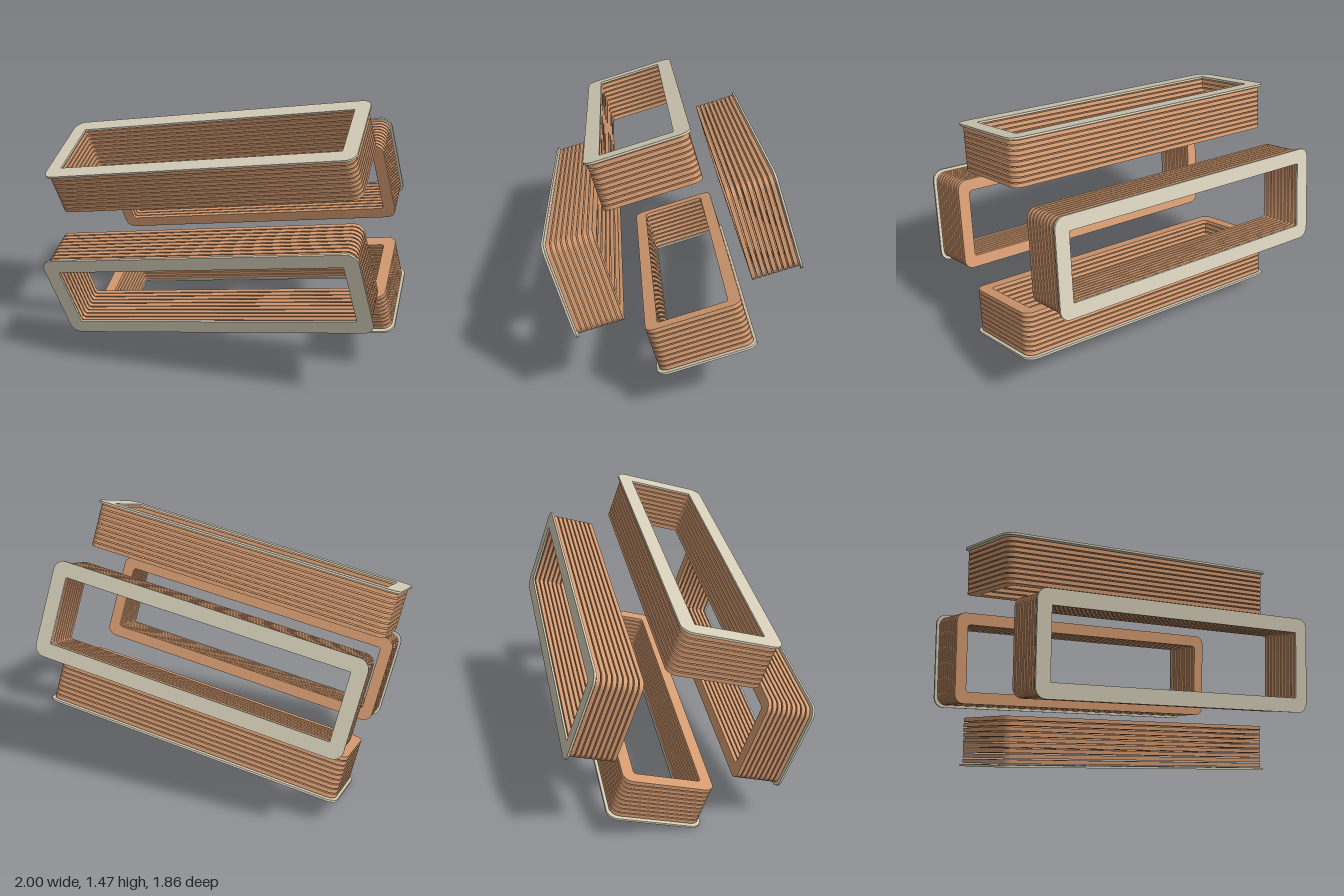
import * as THREE from 'three';
import { toCreasedNormals } from 'three/addons/utils/BufferGeometryUtils.js';

const copper = new THREE.MeshStandardMaterial({ color: 0xd69c72 });
copper.name = 'copper';
const ivory = new THREE.MeshStandardMaterial({ color: 0xd6ceb8 });
ivory.name = 'ivory';

// Rounded rectangle outline, given half length, half width and corner radius
function roundedRect(path, l, w, r) {
  path.moveTo(-l + r, -w);
  path.lineTo(l - r, -w);
  path.absarc(l - r, -w + r, r, -Math.PI / 2, 0);
  path.lineTo(l, w - r);
  path.absarc(l - r, w - r, r, 0, Math.PI / 2);
  path.lineTo(-l + r, w);
  path.absarc(-l + r, w - r, r, Math.PI / 2, Math.PI);
  path.lineTo(-l, -w + r);
  path.absarc(-l + r, -w + r, r, Math.PI, Math.PI * 1.5);
  return path;
}

// Flat rectangular ring lying in XY, extruded along +z
function frameGeometry(l, w, r, border, innerR, depth) {
  const shape = roundedRect(new THREE.Shape(), l, w, r);
  shape.holes.push(roundedRect(new THREE.Path(), l - border, w - border, innerR));
  const g = new THREE.ExtrudeGeometry(shape, { depth, bevelEnabled: false, curveSegments: 8 });
  return toCreasedNormals(g, 0.6);
}

export function createModel() {
  const LENGTH = 0.828, WIDTH = 0.252; // half sizes of an end plate
  const TOP = 0.56, BOTTOM = 0.317;    // distances from the central axis
  const PLATE = 0.011, LAYERS = 9, GAP = 0.006;
  const pitch = (TOP - PLATE - BOTTOM) / LAYERS;

  const plateGeo = frameGeometry(LENGTH, WIDTH, 0.055, 0.077, 0.004, PLATE);
  const layerGeo = frameGeometry(LENGTH - 0.013, WIDTH - 0.013, 0.05, 0.062, 0.015, pitch - GAP);

  const model = new THREE.Group();
  model.name = 'coilSet';

  // Four identical coils around the long axis
  const names = ['frontCoil', 'topCoil', 'backCoil', 'bottomCoil'];
  names.forEach((name, i) => {
    const coil = new THREE.Group();
    coil.name = name;

    const plate = new THREE.Mesh(plateGeo, ivory);
    plate.name = 'endPlate';
    plate.position.z = TOP - PLATE;
    coil.add(plate);

    // Stacked copper windings with narrow gaps
    for (let k = 0; k < LAYERS; k++) {
      const layer = new THREE.Mesh(layerGeo, copper);
      layer.name = 'windingLayer' + (k + 1);
      layer.position.z = BOTTOM + k * pitch;
      coil.add(layer);
    }
    coil.rotation.x = -i * Math.PI / 2;
    model.add(coil);
  });

  // The whole set is tilted in space
  model.rotation.set(THREE.MathUtils.degToRad(19.5), THREE.MathUtils.degToRad(31.5), 0);
  model.position.y = 0.74;

  const root = new THREE.Group();
  root.name = 'model';
  root.add(model);
  return root;
}
